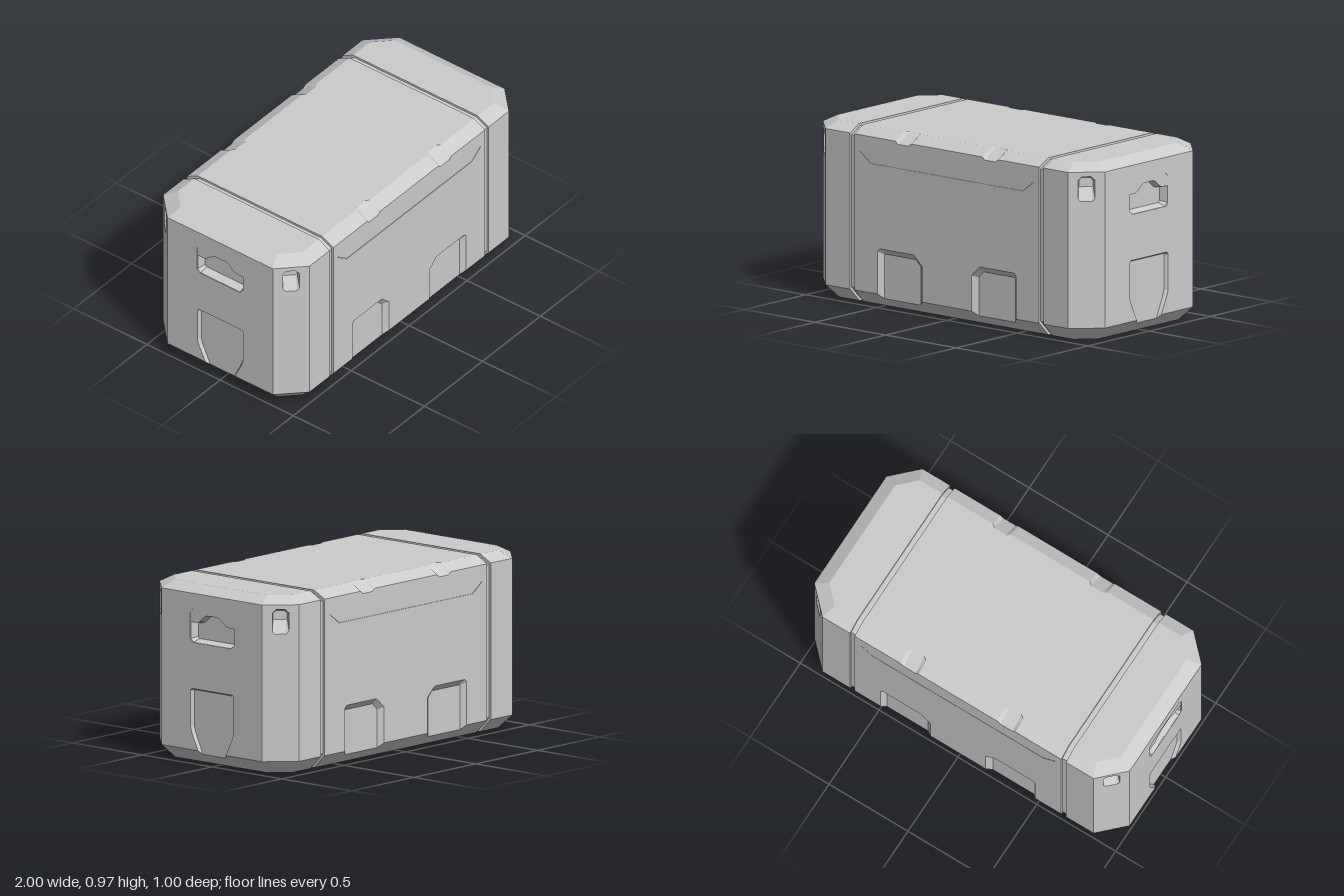
import * as THREE from 'three';

const material = new THREE.MeshStandardMaterial({ color: 0xcccccc, flatShading: true, side: THREE.DoubleSide });
const V = (x, y, z) => new THREE.Vector3(x, y, z);
const flip = (pts) => pts.map(([a, b]) => [-a, b]).reverse();
const sym = (pts) => [...pts, ...flip(pts)];

// Flat polygon with holes, mapped into space by frame(a, b, depth)
function face(frame, outline, holes = [], depth = 0) {
  const to2 = (pts) => pts.map(([a, b]) => new THREE.Vector2(a, b));
  const contour = to2(outline), cuts = holes.map(to2);
  const all = [contour, ...cuts].flat();
  return THREE.ShapeUtils.triangulateShape(contour, cuts).flatMap((tri) => {
    const [p, q, r] = tri.map((i) => all[i]);
    const ccw = (q.x - p.x) * (r.y - p.y) - (q.y - p.y) * (r.x - p.x) > 0;
    return (ccw ? [p, q, r] : [p, r, q]).map((s) => frame(s.x, s.y, depth));
  });
}

// Band of quads between two polylines
function strip(A, B, closed = false) {
  const out = [], n = A.length;
  for (let i = 0; i < (closed ? n : n - 1); i++) {
    const j = (i + 1) % n;
    out.push(A[i], A[j], B[j], A[i], B[j], B[i]);
  }
  return out;
}

// Sunken pocket: sloping walls from outer to inner outline, plus its floor
function recess(frame, outer, inner, depth, { closed = true, start = 0, holes = [] } = {}) {
  return [
    ...strip(outer.map(([a, b]) => frame(a, b, start)), inner.map(([a, b]) => frame(a, b, depth)), closed),
    ...face(frame, inner, holes, depth),
  ];
}

function mesh(name, ...parts) {
  const geometry = new THREE.BufferGeometry().setFromPoints(parts.flat());
  geometry.computeVertexNormals();
  const m = new THREE.Mesh(geometry, material);
  m.name = name;
  return m;
}

function group(name, ...children) {
  const g = new THREE.Group();
  g.name = name;
  return g.add(...children);
}

// Main levels: wall foot, wall head, top, chamfer inset, groove edges
const FOOT = 0.075, HEAD = 0.93, TOP = 0.97, INSET = 0.075, G0 = 0.655, G1 = 0.685;

// Lower pocket in the long wall, and its mirror
const footOuter = [[-0.49, FOOT], [-0.49, 0.31], [-0.475, 0.325], [-0.235, 0.325], [-0.175, 0.27], [-0.175, FOOT]];
const footInner = [[-0.465, 0.05], [-0.465, 0.29], [-0.46, 0.295], [-0.24, 0.295], [-0.205, 0.26], [-0.205, 0.05]];
// Notch in the top edge: [outer x, inner x] at either side
const notchL = [[-0.365, -0.345], [-0.25, -0.27]];
const notches = [...notchL, ...flip(notchL).map(([a, b]) => [a, -b])];
// Traces an edge along +x with the two notches let in
const notchedEdge = (level, cut) => [0, 2].flatMap((i) => {
  const [[o0, i0], [o1, i1]] = notches.slice(i, i + 2);
  return [[o0, level], [i0, cut], [i1, cut], [o1, level]];
});

function longSide() {
  const wall = (a, b, d) => V(a, b, 0.5 - d);
  const lowSlope = (a, b) => V(a, b, 0.425 + b);

  // Thin seam under the lid
  const seamTop = [[-0.615, 0.842], [-0.54, 0.787], [0.54, 0.787], [0.615, 0.842]];
  const seam = [...seamTop, ...seamTop.map(([a, b]) => [a, b - 0.004]).reverse()];

  const outline = [
    [-G0, FOOT], ...sym(footOuter), [G0, FOOT], [G0, HEAD],
    ...notchedEdge(HEAD, 0.915).reverse(), [-G0, HEAD],
  ];
  const ends = [footInner[0], footInner[5]];
  const lowOutline = [
    [-G0, 0], [G0, 0], [G0, FOOT],
    ...sym([footOuter[0], ...ends, footOuter[5]]).reverse(), [-G0, FOOT],
  ];

  // Top slope runs between the notches
  const slope = [[-G0, -0.365], [-0.25, 0.25], [0.365, G0]].map(([l, r]) =>
    strip([V(l, HEAD, 0.5), V(r, HEAD, 0.5)], [V(l, TOP, 0.425), V(r, TOP, 0.425)]));
  const cutouts = [0, 2].flatMap((i) => {
    const [[o0, i0], [o1, i1]] = notches.slice(i, i + 2);
    return strip(
      [V(o0, HEAD, 0.5), V(i0, 0.915, 0.5), V(i1, 0.915, 0.5), V(o1, HEAD, 0.5)],
      [V(o0, TOP, 0.425), V(i0, TOP, 0.41), V(i1, TOP, 0.41), V(o1, TOP, 0.425)]);
  });

  return group('longSide',
    mesh('longWall', face(wall, outline, [seam])),
    mesh('lidSeam', recess(wall, seam, seam, 0.004)),
    mesh('lowerSlope', face(lowSlope, lowOutline)),
    mesh('upperSlope', ...slope),
    mesh('topNotches', cutouts),
    mesh('footPockets',
      recess(wall, footOuter, footInner, 0.025, { closed: false }),
      recess(wall, flip(footOuter), flip(footInner), 0.025, { closed: false })));
}

function endCap() {
  const t = INSET * Math.tan(Math.PI / 8), s = Math.SQRT1_2;
  const rim = [[G1, 0.5], [0.86, 0.5], [1, 0.36], [1, -0.36], [0.86, -0.5], [G1, -0.5]];
  const inset = [[G1, 0.425], [0.86 - t, 0.425], [0.925, 0.36 - t], [0.925, t - 0.36], [0.86 - t, -0.425], [G1, -0.425]];
  const at = (pts, y) => pts.map(([x, z]) => V(x, y, z));
  const foot = at(rim, FOOT), head = at(rim, HEAD), base = at(inset, 0);

  const wall = (a, b, d) => V(1 - d, b, -a);
  const lowSlope = (a, b) => V(0.925 + b, b, -a);
  const corners = [
    (a, b, d) => V(0.93 + (a - d) * s, b, 0.43 - (a + d) * s),
    (a, b, d) => V(0.93 - (a + d) * s, b, -0.43 + (d - a) * s),
  ];

  // Shield-shaped panel running out through the lower slope
  const shield = sym([[-0.1, FOOT], [-0.143, 0.165], [-0.155, 0.2], [-0.155, 0.4], [-0.145, 0.41]]);
  const shieldIn = sym([[-0.083, 0.055], [-0.132, 0.165], [-0.143, 0.2], [-0.143, 0.395], [-0.14, 0.4]]);

  // Handle: faint frame with an arched grip opening
  const plate = sym([[-0.135, 0.66], [-0.156, 0.68], [-0.156, 0.825], [-0.135, 0.845]]);
  const grip = sym([[-0.134, 0.662], [-0.154, 0.681], [-0.154, 0.772], [-0.11, 0.772], [-0.092, 0.779], [-0.055, 0.811], [-0.037, 0.818]]);
  const gripIn = sym([[-0.132, 0.676], [-0.142, 0.686], [-0.142, 0.765], [-0.108, 0.765], [-0.088, 0.773], [-0.053, 0.804], [-0.035, 0.811]]);

  // Corner lashing pocket with a long ramp below
  const lash = sym([[-0.03, 0.77], [-0.045, 0.785], [-0.045, 0.885], [-0.025, 0.905]]);
  const lashIn = sym([[-0.03, 0.84], [-0.038, 0.848], [-0.038, 0.875], [-0.022, 0.89]]);
  const w = 0.14 * s;
  const cornerOutline = [[-w, FOOT], [w, FOOT], [w, HEAD], [-w, HEAD]];

  return group('endCap',
    mesh('endWall', face(wall, [[-0.36, HEAD], [-0.36, FOOT], ...shield, [0.36, FOOT], [0.36, HEAD]], [plate])),
    mesh('returnWalls', strip(foot.slice(0, 2), head.slice(0, 2)), strip(foot.slice(4), head.slice(4))),
    mesh('cornerWalls', ...corners.map((f) => face(f, cornerOutline, [lash]))),
    mesh('cornerPockets', ...corners.map((f) => recess(f, lash, lashIn, 0.05))),
    mesh('shieldPanel', recess(wall, shield, shieldIn, 0.02, { closed: false })),
    mesh('handlePlate', recess(wall, plate, plate, 0.003, { holes: [grip] })),
    mesh('handleGrip', recess(wall, grip, gripIn, 0.05, { start: 0.003 })),
    mesh('upperSlope', strip(head, at(inset, TOP))),
    mesh('lowerSlope',
      strip(base.slice(0, 3), foot.slice(0, 3)), strip(base.slice(3), foot.slice(3)),
      face(lowSlope, [[-0.36, FOOT], [t - 0.36, 0], [0.36 - t, 0], [0.36, FOOT],
        [0.1, FOOT], [0.083, 0.055], [-0.083, 0.055], [-0.1, FOOT]])),
    mesh('capTop', face((a, b) => V(a, TOP, -b), inset)),
    mesh('capBase', face((a, b) => V(a, 0, b), inset)));
}

// Channel that wraps the whole cross-section
function groove() {
  const ring = [[0, -0.425], [0, 0.425], [FOOT, 0.5], [HEAD, 0.5], [TOP, 0.425], [TOP, -0.425], [HEAD, -0.5], [FOOT, -0.5]];
  const g = 0.012;
  const outer = (x) => ring.map(([y, z]) => V(x, y, z));
  const inner = (x) => ring.map(([y, z]) => V(x, g + y * (1 - 2 * g / TOP), z * (1 - 2 * g)));
  const loops = [outer(G0), inner(G0), inner(G1), outer(G1)];
  return mesh('groove', ...[0, 1, 2].map((i) => strip(loops[i], loops[i + 1], true)));
}

export function createModel() {
  const crate = group('crate');
  // The second half is the first turned half a circle
  for (const angle of [0, Math.PI]) {
    const half = group('crateHalf', longSide(), endCap(), groove());
    half.rotation.y = angle;
    crate.add(half);
  }
  const edge = [[-G0, -0.425], ...notchedEdge(-0.425, -0.41), [G0, -0.425]];
  const lid = [...edge, ...edge.map(([a, b]) => [-a, -b])];
  crate.add(
    mesh('lidTop', face((a, b) => V(a, TOP, -b), lid)),
    mesh('base', face((a, b) => V(a, 0, b), [[-G0, -0.425], [G0, -0.425], [G0, 0.425], [-G0, 0.425]])));
  return crate;
}
